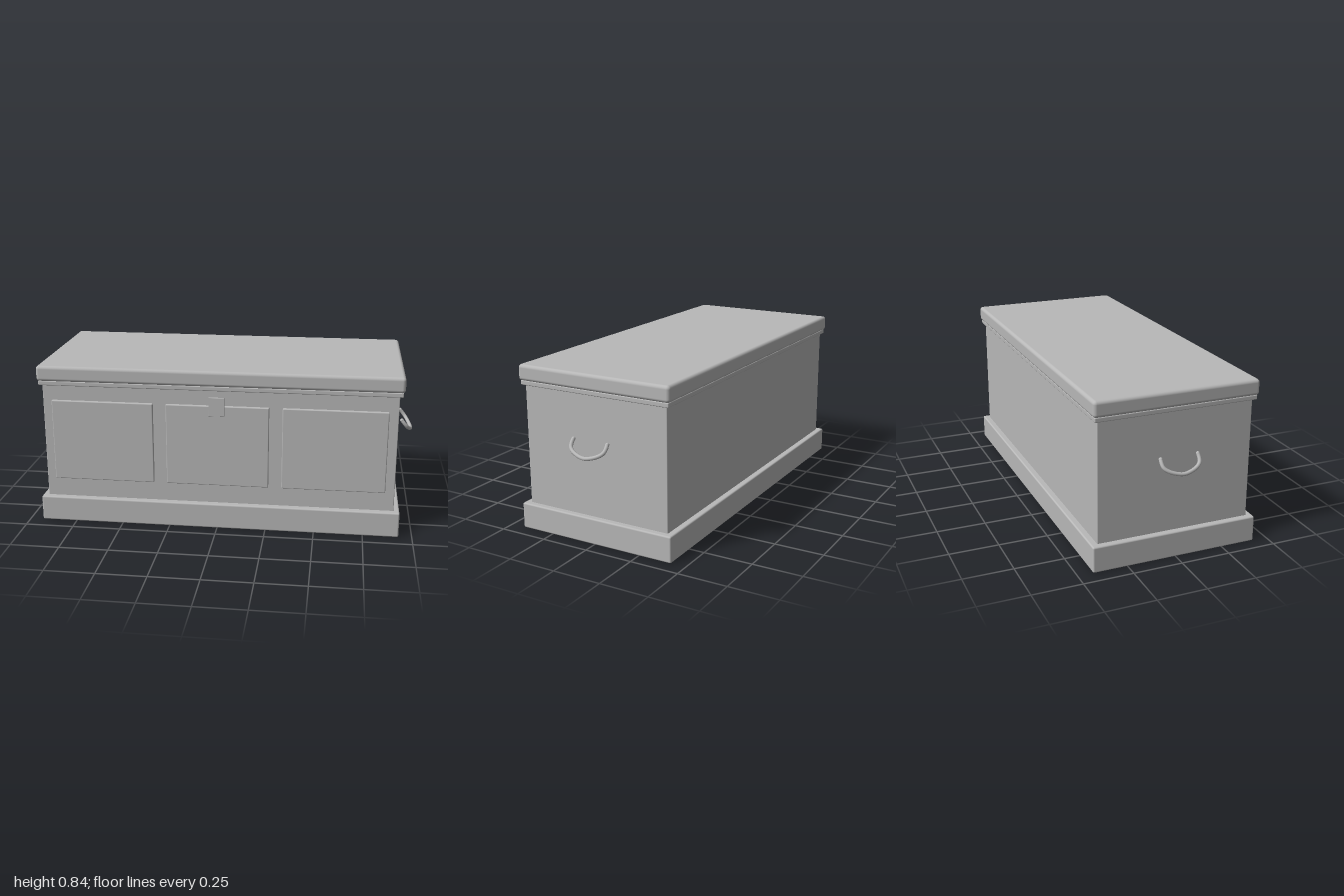
import * as THREE from 'three';
import { RoundedBoxGeometry } from 'three/addons/geometries/RoundedBoxGeometry.js';

export function createModel() {
  const chest = new THREE.Group();
  chest.name = 'chest';
  const grey = new THREE.MeshStandardMaterial({ color: 0xb8b8b8 });
  grey.name = 'plain grey';

  function add(name, geometry, parent = chest) {
    const mesh = new THREE.Mesh(geometry, grey);
    mesh.name = name;
    parent.add(mesh);
    return mesh;
  }

  // Rounded block given by its width, depth, and bottom and top heights
  function block(name, w, d, y0, y1, r, x = 0, z = 0) {
    const mesh = add(name, new RoundedBoxGeometry(w, y1 - y0, d, 3, r));
    mesh.position.set(x, (y0 + y1) / 2, z);
    return mesh;
  }

  // Stacked carcass
  block('plinth', 1.864, 0.85, 0, 0.132, 0.008);
  block('body', 1.804, 0.786, 0.128, 0.742, 0.004);
  block('lidMoulding', 1.836, 0.82, 0.736, 0.76, 0.005);
  block('lid', 1.852, 0.836, 0.758, 0.838, 0.017);

  // Raised front panels
  for (const x of [-0.592, 0, 0.592]) {
    block('frontPanel', 0.525, 0.03, 0.232, 0.657, 0.005, x, 0.393);
  }

  // Lock plate standing off the front
  block('lockPlate', 0.08, 0.009, 0.61, 0.707, 0.002, 0, 0.4235);

  // Drop handles, tilted outward towards the bottom
  const profile = [
    [0.522, 0.095], [0.507, 0.096], [0.49, 0.092], [0.477, 0.078],
    [0.463, 0.045], [0.455, 0],
  ];
  const bow = [...profile, ...profile.slice(0, -1).reverse().map(([y, z]) => [y, -z])];
  for (const side of [-1, 1]) {
    const handle = new THREE.Group();
    handle.name = side > 0 ? 'leftHandle' : 'rightHandle';
    chest.add(handle);
    const points = bow.map(([y, z]) =>
      new THREE.Vector3(side * (0.937 + (0.522 - y) * 0.8), y, z));
    const curve = new THREE.CatmullRomCurve3(points);
    add('handleBow', new THREE.TubeGeometry(curve, 48, 0.0095, 10), handle);
    for (const end of [points[0], points[points.length - 1]]) {
      add('handleEnd', new THREE.SphereGeometry(0.0098, 12, 8), handle).position.copy(end);
    }
  }

  return chest;
}
